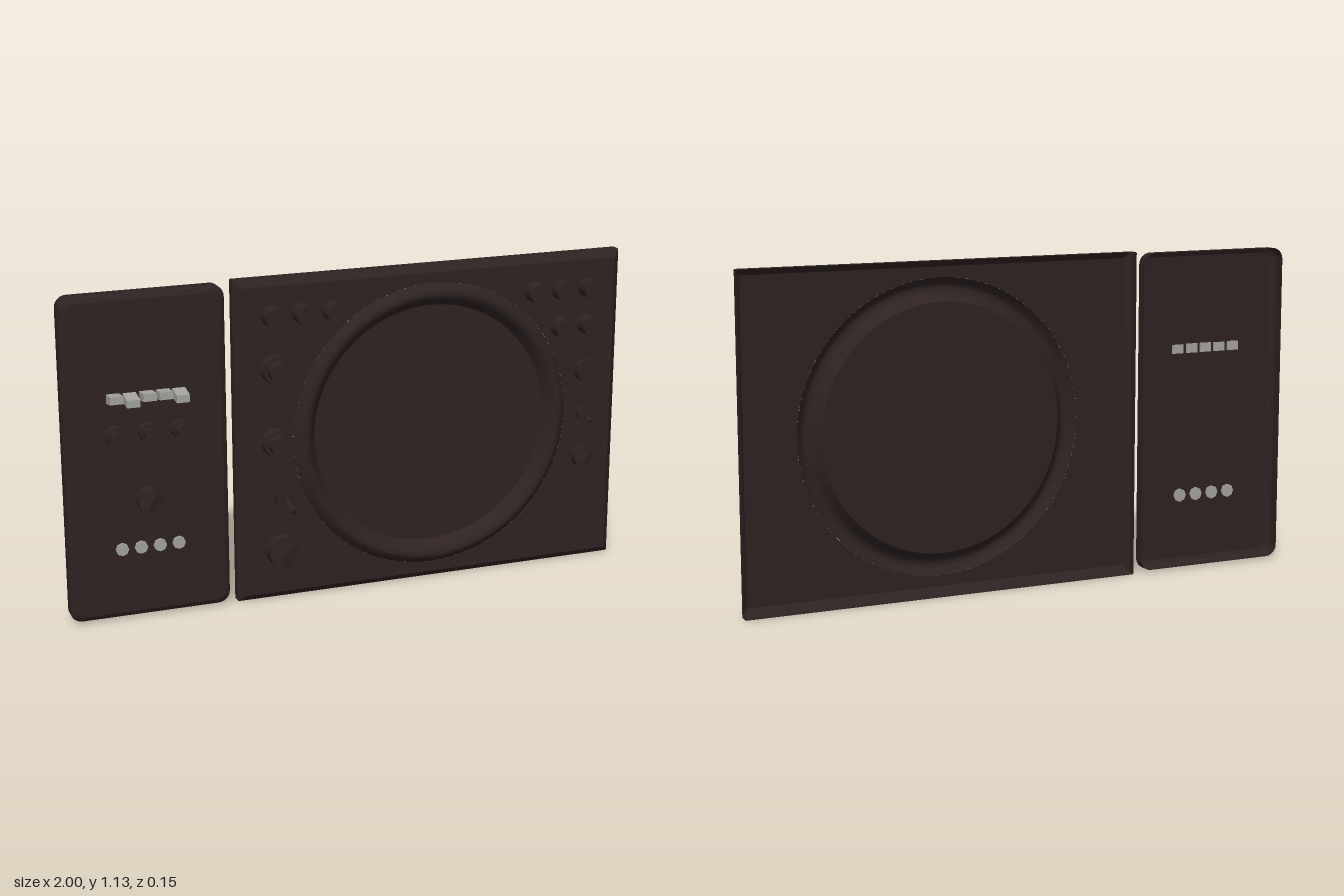
import * as THREE from 'three';

const mat = (name, color) => Object.assign(new THREE.MeshStandardMaterial({ color, side: THREE.DoubleSide }), { name });
const FACE = -0.018, BACK = -0.073; // panel front and back planes

// Rounded rectangle outline, counter-clockwise
function outline(x0, y0, x1, y1, r, inset) {
  const pts = [], k = Math.max(r - inset * 0.6, 0.003), n = 6;
  const corners = [[x1, y0, 1, -1, -0.5], [x1, y1, 1, 1, 0], [x0, y1, -1, 1, 0.5], [x0, y0, -1, -1, 1]];
  for (const [x, y, sx, sy, a] of corners) {
    for (let i = 0; i <= n; i++) {
      const t = Math.PI * (a + 0.5 * i / n);
      pts.push(new THREE.Vector2(x - sx * (inset + k) + k * Math.cos(t), y - sy * (inset + k) + k * Math.sin(t)));
    }
  }
  return pts;
}

// Open-backed panel: side and bevel bands, then the front sheet with an optional round hole
function panel(name, rect, r, bands, material, hole) {
  const group = new THREE.Group();
  group.name = name;
  const pos = [];
  for (let j = 0; j < bands.length - 1; j++) {
    const [ia, za] = bands[j], [ib, zb] = bands[j + 1];
    const A = outline(...rect, r, ia), B = outline(...rect, r, ib);
    A.forEach((a, i) => {
      const n = (i + 1) % A.length;
      pos.push(a.x, a.y, za, A[n].x, A[n].y, za, B[n].x, B[n].y, zb);
      pos.push(a.x, a.y, za, B[n].x, B[n].y, zb, B[i].x, B[i].y, zb);
    });
  }
  const rim = new THREE.BufferGeometry();
  rim.setAttribute('position', new THREE.Float32BufferAttribute(pos, 3));
  rim.computeVertexNormals();
  const edge = new THREE.Mesh(rim, material);
  edge.name = name + 'Edge';
  const [inset, z] = bands[bands.length - 1];
  const shape = new THREE.Shape(outline(...rect, r, inset));
  if (hole) shape.holes.push(new THREE.Path().absarc(hole.x, hole.y, hole.r, 0, Math.PI * 2, true));
  const sheet = new THREE.Mesh(new THREE.ShapeGeometry(shape, 48), material);
  sheet.name = name + 'Face';
  sheet.position.z = z;
  group.add(edge, sheet);
  return group;
}

export function createModel() {
  const model = new THREE.Group();
  const body = mat('dark brown plastic', 0x2e2222);
  const light = mat('light grey plastic', 0xa3a29d);

  const add = (name, geo, material, x, y, z) => {
    const m = new THREE.Mesh(geo, material);
    m.name = name;
    m.position.set(x, y, z);
    model.add(m);
    return m;
  };
  // Tapered round part standing out of the panel from z0 to z1
  const peg = (name, x, y, r0, r1, z0, z1, material = body, sides = 28) =>
    add(name, new THREE.CylinderGeometry(r1, r0, z1 - z0, sides).rotateX(Math.PI / 2), material, x, y, (z0 + z1) / 2);
  // Low dial with a sloping pointer ridge
  const dial = (name, x, y, r, z1, turn) => {
    peg(name, x, y, r, r * 0.94, FACE, z1 - 0.009);
    const s = new THREE.Shape([[-0.75 * r, 0], [0.75 * r, 0], [0, 0.009]].map(p => new THREE.Vector2(...p)));
    const ridge = new THREE.ExtrudeGeometry(s, { depth: 1.3 * r, bevelEnabled: false });
    ridge.translate(0, 0, -0.65 * r).rotateX(Math.PI / 2);
    add(name + 'Pointer', ridge, body, x, y, z1 - 0.009).rotation.z = turn;
  };
  // Switch with a sloping lever
  const toggle = (name, x, y, r, sides, length, thick, tilt) => {
    peg(name + 'Nut', x, y, r, r, FACE, 0, body, sides);
    const lever = new THREE.CylinderGeometry(thick, thick * 0.7, length, 12).rotateX(Math.PI / 2).translate(0, 0, length / 2);
    add(name + 'Lever', lever, body, x, y, -0.004).rotation.x = tilt;
  };

  // Panels
  const centre = { x: 0.29, y: 0.567, r: 0.505 };
  model.add(panel('mainPanel', [-0.415, 0, 1, 1.132], 0.004,
    [[0, BACK], [0, -0.042], [0.024, FACE]], body, centre));
  model.add(panel('sidePanel', [-1, 0.008, -0.445, 1.125], 0.04,
    [[0, BACK], [0, -0.036], [0.006, -0.026], [0.02, FACE]], body));

  // Raised ring and the recessed platter inside it
  const profile = [[0.425, -0.034], [0.432, -0.026], [0.445, -0.006], [0.457, 0.006], [0.47, 0.01], [0.484, 0.007], [0.505, FACE]];
  const ring = new THREE.LatheGeometry(profile.map(p => new THREE.Vector2(...p)).reverse(), 80).rotateX(Math.PI / 2);
  add('platterRing', ring, body, centre.x, centre.y, 0);
  add('platter', new THREE.CircleGeometry(0.425, 80), body, centre.x, centre.y, -0.034);

  // Round buttons along the top corners
  for (const [x, y] of [[-0.29, 1.01], [-0.183, 1.01], [-0.077, 1.01], [0.665, 1.01], [0.768, 1.01], [0.872, 1.01], [0.768, 0.877], [0.872, 0.877]])
    peg('button', x, y, 0.035, 0.032, FACE, 0.032);

  // Stepped knobs on the left column
  for (const y of [0.826, 0.57]) {
    peg('knobSkirt', -0.28, y, 0.05, 0.044, FACE, 0.008);
    peg('knobCap', -0.28, y, 0.034, 0.031, 0.008, 0.042);
  }
  toggle('largeSwitch', -0.248, 0.372, 0.04, 6, 0.082, 0.009, 0.36);
  dial('largeDial', -0.26, 0.18, 0.058, 0.031, -0.6);

  // Right column
  dial('upperDial', 0.872, 0.71, 0.041, 0.018, 0.5);
  toggle('smallSwitch', 0.872, 0.552, 0.027, 20, 0.05, 0.007, 0.4);
  dial('lowerDial', 0.872, 0.39, 0.041, 0.018, -0.6);

  // Side panel: rocker keys, alternately tipped
  const tips = [1, -1, 1, 1, -1];
  tips.forEach((tip, i) => {
    const key = new THREE.BoxGeometry(0.044, 0.032, 0.062);
    const p = key.attributes.position;
    for (let v = 0; v < p.count; v++) {
      if (p.getZ(v) > 0) p.setY(v, p.getY(v) * 0.8 + tip * 0.008);
    }
    key.computeVertexNormals();
    add('rockerKey', key, light, -0.833 + i * 0.0555, 0.78, 0.008);
  });

  // Side panel: small knobs, centre dial and indicator studs
  for (const x of [-0.832, -0.721, -0.61]) {
    peg('smallKnobSkirt', x, 0.656, 0.032, 0.028, FACE, 0);
    peg('smallKnobCap', x, 0.656, 0.021, 0.019, 0, 0.028);
  }
  dial('sideDial', -0.722, 0.422, 0.045, 0.02, -0.6);
  for (let i = 0; i < 4; i++) peg('indicatorStud', -0.82 + i * 0.065, 0.255, 0.024, 0.022, -0.026, -0.01, light, 8);

  return model;
}
